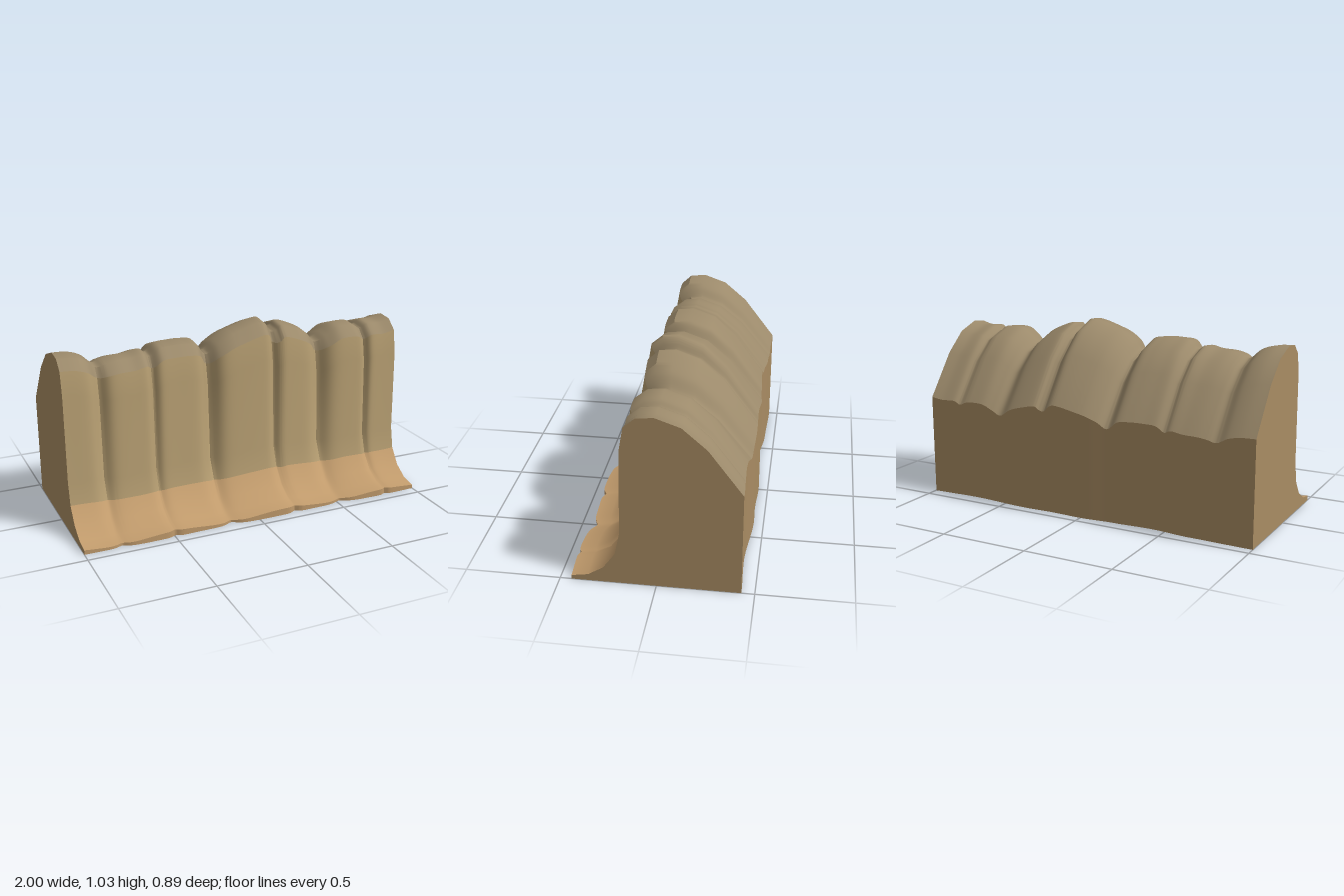
import * as THREE from 'three';
import { toCreasedNormals } from 'three/addons/utils/BufferGeometryUtils.js';

// Crest line along the cliff: x, height
const CREST = [
  [-1, 0.965], [-0.92, 0.96], [-0.85, 0.935], [-0.79, 0.885], [-0.74, 0.9], [-0.68, 0.913], [-0.6, 0.917],
  [-0.53, 0.93], [-0.49, 0.907], [-0.44, 0.952], [-0.37, 0.96], [-0.29, 0.96], [-0.22, 0.945], [-0.16, 0.872],
  [-0.1, 0.925], [-0.03, 0.97], [0.05, 1.0], [0.12, 1.022], [0.17, 1.03], [0.2, 1.01], [0.23, 0.965],
  [0.26, 0.972], [0.29, 1.0], [0.36, 0.98], [0.45, 0.935], [0.52, 0.866], [0.58, 0.9], [0.65, 0.945],
  [0.73, 0.95], [0.77, 0.94], [0.81, 0.915], [0.85, 0.945], [0.93, 0.943], [1, 0.96],
];

// Vertical clefts: x, depth, half width
const CLEFTS = [
  [-0.79, 0.055, 0.035], [-0.495, 0.04, 0.022], [-0.16, 0.08, 0.042],
  [0.225, 0.05, 0.024], [0.52, 0.075, 0.045], [0.81, 0.035, 0.018],
];

// Back wall line: x, z
const BACK = [
  [-1, -0.447], [-0.65, -0.44], [-0.42, -0.421], [-0.2, -0.432], [0, -0.447],
  [0.2, -0.441], [0.35, -0.446], [0.72, -0.422], [1, -0.432],
];

// Cross-section from front toe over the crest to the back: z, y, cleft weight
const PROFILE = [
  [0.442, 0, 0.4], [0.442, 0.027, 0.4], [0.355, 0.042, 0.3], [0.275, 0.092, 0.3], [0.212, 0.182, 0.45],
  [0.186, 0.31, 0.8], [0.175, 0.8, 1], [0.152, 0.935, 1], [0.09, 0.99, 0.5], [0, 1, 0.1],
  [-0.13, 0.953, 0], [-0.257, 0.838, 0], [-0.435, 0.592, 0], [-0.435, 0, 0],
];

const toCurve = (table) => new THREE.SplineCurve(table.map(([x, y]) => new THREE.Vector2(x, y)));

function backAt(x) {
  let i = 0;
  while (i < BACK.length - 2 && x > BACK[i + 1][0]) i++;
  const [x0, z0] = BACK[i], [x1, z1] = BACK[i + 1];
  return THREE.MathUtils.lerp(z0, z1, THREE.MathUtils.smoothstep(x, x0, x1));
}

function cleftAt(x) {
  return CLEFTS.reduce((sum, [cx, depth, w]) => sum + depth * Math.exp(-Math.pow(Math.abs(x - cx) / w, 1.5)), 0);
}

// One cross-section of the cliff at x
function section({ x, y: crest }) {
  const cleft = cleftAt(x);
  const toeLift = 0.01 * Math.cos((x - 0.14) * 9.6);
  const backShift = backAt(x) + 0.435;
  return PROFILE.map(([z, y, weight], j) => {
    const lift = j === 1 || j === 2 ? toeLift : j === 3 ? toeLift * 0.4 : 0;
    const fade = THREE.MathUtils.clamp((-z - 0.1) / 0.33, 0, 1);
    const ripple = z > 0.1 ? 0.004 * Math.sin(x * 9 + 1) : 0;
    return new THREE.Vector3(x, y * crest + lift, z - cleft * weight + ripple + backShift * fade);
  });
}

// Skin the sections between two profile points
function band(name, sections, from, to, color) {
  const count = to - from + 1;
  const positions = [], index = [];
  sections.forEach((s) => {
    for (let j = from; j <= to; j++) positions.push(...s[j % PROFILE.length].toArray());
  });
  for (let i = 0; i < sections.length - 1; i++) {
    for (let j = 0; j < count - 1; j++) {
      const a = i * count + j, b = a + count;
      index.push(a, b, b + 1, a, b + 1, a + 1);
    }
  }
  const geometry = new THREE.BufferGeometry();
  geometry.setAttribute('position', new THREE.Float32BufferAttribute(positions, 3));
  geometry.setIndex(index);
  const mesh = new THREE.Mesh(toCreasedNormals(geometry, 0.6), new THREE.MeshStandardMaterial({ color }));
  mesh.name = name;
  return mesh;
}

// Flat cut end, side = 1 for +x and -1 for -x
function endCap(name, points, side, color) {
  const shape = new THREE.Shape(points.map((p) => new THREE.Vector2(-side * p.z, p.y)));
  const geometry = new THREE.ShapeGeometry(shape).rotateY(side * Math.PI / 2).translate(side, 0, 0);
  const mesh = new THREE.Mesh(geometry, new THREE.MeshStandardMaterial({ color }));
  mesh.name = name;
  return mesh;
}

export function createModel() {
  const group = new THREE.Group();
  group.name = 'cliffSegment';
  const sections = toCurve(CREST).getPoints((CREST.length - 1) * 6).map(section);

  group.add(
    band('footSlope', sections, 0, 4, 0xc19b6c),
    band('rockFace', sections, 4, 7, 0xb59d71),
    band('crest', sections, 7, 12, 0x9c8a6b),
    band('backWall', sections, 12, 13, 0xa98c63),
    band('base', sections, 13, 14, 0xa98c63),
    endCap('leftEnd', sections[sections.length - 1], 1, 0xa98c63),
    endCap('rightEnd', sections[0], -1, 0xa98c63),
  );
  return group;
}
